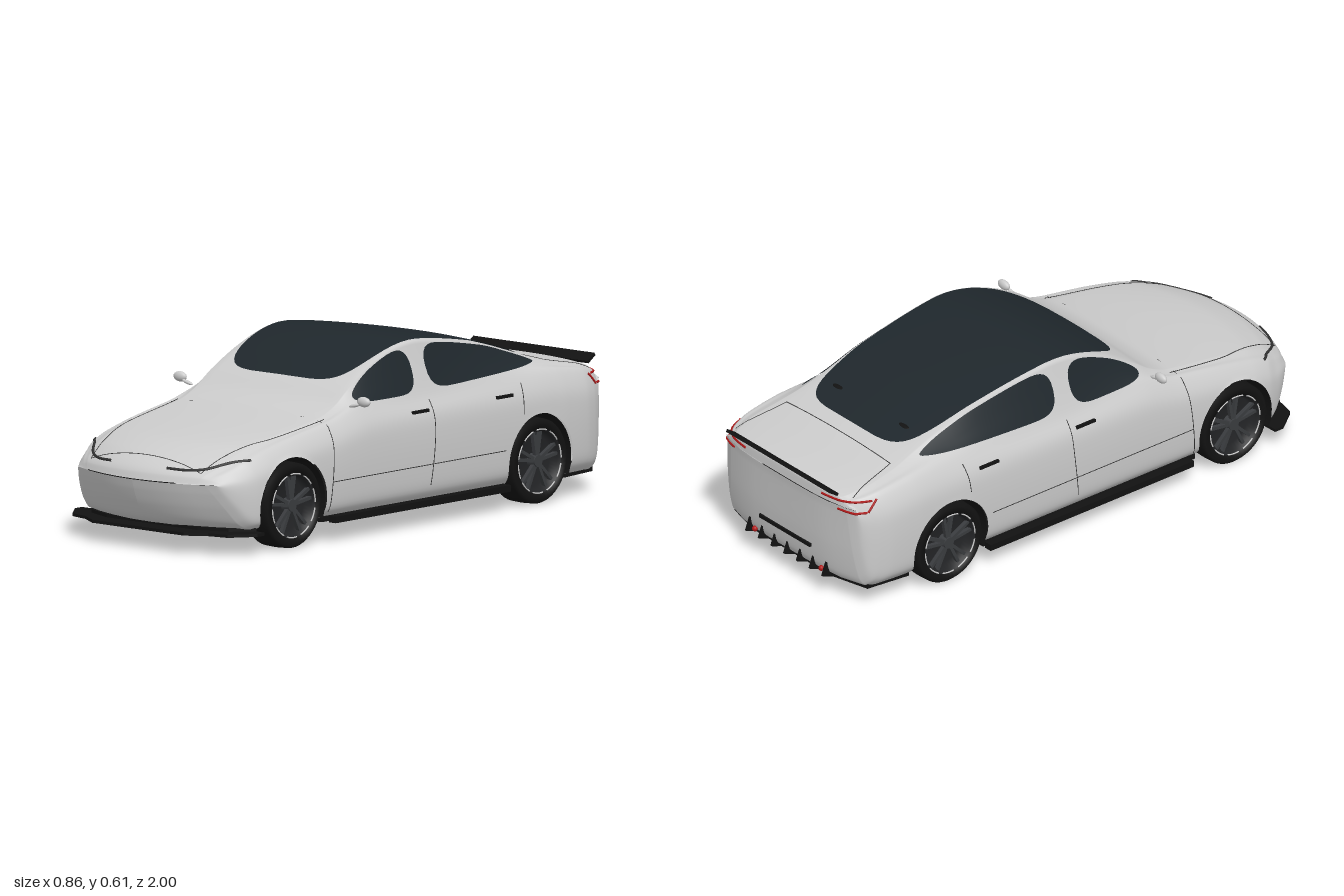
import * as THREE from 'three';

const paint = (color, side = THREE.FrontSide) => new THREE.MeshStandardMaterial({ color, side });
const grey = paint(0xcccccc, THREE.DoubleSide);
const glass = paint(0x1f272c, THREE.DoubleSide);
const black = paint(0x121212, THREE.DoubleSide);
const seamMat = paint(0x333333), rimMat = paint(0x3a3c3f), red = paint(0xb01818);

const ARCH = 0.158, AXLES = [0.635, -0.585], HUB_Y = 0.145;

// Body stations: z, top y, roof edge x, belt y, then half width and bottom y where they taper
const stations = [
  [1, .237, .24, .235, .3, .234], [.99, .262, .25, .25, .32, .2], [.97, .283, .265, .265, .345, .15],
  [.94, .302, .28, .28, .365, .1], [.9, .322, .285, .3, .38], [.8, .352, .29, .325, .39],
  [.42, .408, .3, .385], [.34, .44, .302, .405], [.27, .488, .3, .42], [.15, .553, .292, .425],
  [.02, .597, .29, .425], [-.1, .605, .29, .427], [-.4, .558, .28, .43], [-.55, .515, .275, .43],
  [-.66, .48, .28, .43], [-.75, .457, .29, .425], [-.88, .435, .295, .41, .388],
  [-.93, .426, .285, .4, .375], [-.955, .42, .28, .395, .36, .1], [-.968, .415, .27, .39, .345, .2],
  [-.975, .408, .26, .385, .33, .34], [-.978, .376, .26, .374, .33, .373],
].map(([z, top, xr, yb, w = .395, bottom = .08]) => ({ z, v: [top, xr, yb, w, bottom] }));

// Smooth interpolation between stations i and i + 1
function blend(i, t) {
  const a = stations[i], b = stations[i + 1], h = b.z - a.z, t2 = t * t, t3 = t2 * t;
  const slope = (j, k) => {
    const p = stations[Math.max(j - 1, 0)], q = stations[Math.min(j + 1, stations.length - 1)];
    return (q.v[k] - p.v[k]) / (q.z - p.z);
  };
  const v = a.v.map((y, k) => (2 * t3 - 3 * t2 + 1) * y + (t3 - 2 * t2 + t) * h * slope(i, k)
    + (3 * t2 - 2 * t3) * b.v[k] + (t3 - t2) * h * slope(i + 1, k));
  return { z: a.z + h * t, v };
}
function stationAt(z) {
  const i = stations.findIndex(s => s.z < z) - 1;
  return blend(i, (z - stations[i].z) / (stations[i + 1].z - stations[i].z)).v;
}

// Half cross-section from the roof centre round to the floor centre
function section([top, xr, yb, w, bottom]) {
  const pts = [], h = yb - bottom, xb = w * .89;
  const crown = Math.min(.01, (top - bottom) * .07), yr = top - crown;
  for (let i = 0; i < 10; i++) pts.push([xr * i / 10, top - crown * (i / 10) ** 2]);
  const side = new THREE.SplineCurve([[xr, yr], [(xr + xb) / 2 - .002, (yr + yb) / 2], [xb, yb],
    [w - .01, yb - .18 * h], [w, yb - .4 * h], [w, yb - .7 * h], [w - .008, bottom + .1 * h],
    [w - .035, bottom]].map(p => new THREE.Vector2(...p)));
  for (const p of side.getPoints(35)) pts.push([p.x, p.y]);
  for (let i = 1; i <= 4; i++) pts.push([(w - .035) * (1 - i / 4), bottom]);
  return pts;
}

// Surface through rows of points; keep() may drop faces or adjust positions
function grid(rows, keep = () => true) {
  const n = rows[0].length, pos = rows.flat(2), index = [];
  for (let r = 0; r < rows.length - 1; r++) for (let c = 0; c < n - 1; c++) {
    const a = r * n + c, b = a + n;
    for (const tri of [[a, b, a + 1], [b, b + 1, a + 1]]) if (keep(tri, pos, r, c)) index.push(...tri);
  }
  const g = new THREE.BufferGeometry();
  g.setAttribute('position', new THREE.Float32BufferAttribute(pos, 3));
  g.setIndex(index);
  g.computeVertexNormals();
  return g;
}

function bodyGeometry() {
  const rows = [];
  for (let i = 0; i < stations.length - 1; i++) {
    const n = Math.max(5, Math.ceil((stations[i].z - stations[i + 1].z) / .014));
    for (let k = 0; k < n; k++) rows.push(blend(i, k / n));
  }
  rows.push(stations[stations.length - 1]);
  // Bow the nose and tail in plan
  const pts = rows.map(({ z, v }) => {
    const half = section(v), ring = [...half.map(([x, y]) => [-x, y]).reverse(), ...half.slice(1)];
    const nose = THREE.MathUtils.smoothstep(z, .5, 1), tail = THREE.MathUtils.smoothstep(-z, .6, .97);
    return ring.map(([x, y]) => [x, y, z - .85 * x * x * nose + 3 * x ** 4 * tail]);
  });
  const n = pts[0].length, flat = r => rows[r].v[4] < .0805;
  // Cut the wheel arches: drop faces inside, push straddling corners to the rim
  return grid(pts, (tri, pos, r, c) => {
    if ((c < 4 || c >= n - 5) && flat(r) && flat(r + 1)) return false;
    const corners = tri.map(i => pts[Math.floor(i / n)][i % n]);
    const hit = corners.map(p => AXLES.find(z => Math.hypot(p[2] - z, p[1] - HUB_Y) < ARCH));
    if (hit.every(z => z !== undefined)) return false;
    tri.forEach((i, k) => {
      if (hit[k] === undefined) return;
      const dz = corners[k][2] - hit[k], dy = corners[k][1] - HUB_Y, s = ARCH / Math.hypot(dz, dy);
      pos[i * 3 + 1] = HUB_Y + dy * (dy < 0 ? 1 : s);
      pos[i * 3 + 2] = hit[k] + (dy < 0 ? Math.sign(dz) * Math.sqrt(ARCH ** 2 - dy ** 2) : dz * s);
    });
    return true;
  });
}

function makeWheel() {
  const wheel = new THREE.Group();
  const add = (name, g, m) => { const o = new THREE.Mesh(g, m); o.name = name; wheel.add(o); };
  const lathe = p => new THREE.LatheGeometry(p.map(q => new THREE.Vector2(...q)), 48).rotateZ(-Math.PI / 2);
  add('tyre', lathe([[.108, -.05], [.132, -.052], [.141, -.042], [.143, 0], [.141, .042], [.132, .052],
    [.108, .05], [.106, .03]]), black);
  add('rimBarrel', lathe([[0, .012], [.09, .012], [.098, .04], [.108, .049]]), paint(0x222325, THREE.DoubleSide));
  for (let i = 0; i < 10; i++) {
    const a = Math.floor(i / 2) * Math.PI * .4 + (i % 2 ? .17 : -.17);
    add('spoke', new THREE.BoxGeometry(.014, .09, .011).translate(.034, .056, 0).rotateX(a), rimMat);
    add('rimAccent', new THREE.TorusGeometry(.106, .0025, 6, 8, .45).rotateY(Math.PI / 2)
      .translate(.05, 0, 0).rotateX(i * Math.PI / 5), grey);
  }
  add('hub', new THREE.CylinderGeometry(.02, .024, .03, 20).rotateZ(-Math.PI / 2).translate(.03, 0, 0), rimMat);
  return wheel;
}

export function createModel() {
  const car = new THREE.Group();
  const add = (name, g, m, x = 0, y = 0, z = 0) => {
    const o = new THREE.Mesh(g, m);
    o.name = name; o.position.set(x, y, z); car.add(o);
    return o;
  };
  const body = add('body', bodyGeometry(), grey);

  // Drop a point onto the body along a direction
  const ray = new THREE.Raycaster();
  let last = new THREE.Vector3();
  const project = (p, dir, lift) => {
    const d = new THREE.Vector3(...dir).normalize();
    ray.set(new THREE.Vector3(...p).addScaledVector(d, -1), d);
    const hit = ray.intersectObject(body)[0];
    if (hit) last = hit.point.addScaledVector(d, -lift);
    return last.clone();
  };
  // Thin line lying on the body
  const strip = (name, pts, dir, r, m) => {
    const path = new THREE.CatmullRomCurve3(pts.map(p => new THREE.Vector3(...p)));
    const on = path.getPoints(16).map(p => project(p.toArray(), dir, r * .3));
    add(name, new THREE.TubeGeometry(new THREE.CatmullRomCurve3(on), 32, r, 5), m);
  };
  const topSeam = (name, ...pts) => strip(name, pts.map(([x, z]) => [x, .4, z]), [0, -1, 0], .0014, seamMat);
  const steps = (n, f) => Array.from({ length: n + 1 }, (_, i) => f(-1 + 2 * i / n));

  // Glass roof, from windscreen to rear window
  add('glassRoof', grid(steps(36, a => {
    const t = Math.sin(a * Math.PI / 2), z = -.212 - .478 * t;
    const w = stationAt(z)[1] * .975 * Math.max(1 - Math.abs(t) ** 5, 1e-4) ** .2;
    return steps(20, s => project([s * w, .6, z], [0, -1, 0], .004).toArray());
  })), glass);

  for (const s of [1, -1]) {
    // Side windows
    for (const [name, z0, z1, n] of [['frontWindow', .272, -.022, 5], ['rearWindow', -.09, -.645, 9]]) {
      add(name, grid(steps(24, a => {
        const t = Math.sin(a * Math.PI / 2), z = (z0 + z1) / 2 + (z1 - z0) / 2 * t;
        const hi = stationAt(z)[0] - .016, lo = Math.min(hi, .434 + Math.max(0, -z) * .035);
        const h = (hi - lo) / 2 * Math.max(1 - Math.abs(t) ** n, 0) ** .4;
        return steps(10, v => project([s * .4, (hi + lo) / 2 + v * h, z], [-s, 0, 0], .004).toArray());
      })), glass);
    }
    // Panel seams
    for (const pts of [[[.43, .4], [.445, .25], [.46, .1]], [[-.065, .41], [-.06, .3], [-.04, .13]],
      [[-.515, .41], [-.505, .36], [-.5, .31]], [[.45, .2], [0, .2], [-.41, .2]]]) {
      strip('doorSeam', pts.map(([z, y]) => [s * .4, y, z]), [-s, 0, 0], .0014, seamMat);
    }
    topSeam('bonnetSeam', [s * .32, .41], [s * .305, .65], [s * .29, .72], [s * .24, .93]);
    topSeam('bootSeam', [s * .265, -.74], [s * .285, -.86], [s * .3, -.93]);
    // Lights
    strip('headlight', [[.34, .308], [.3, .302], [.25, .283], [.2, .277], [.12, .279]]
      .map(([x, y]) => [s * x, y, .9]), [0, 0, -1], .005, seamMat);
    for (const pts of [[[.2, .393, -.98], [.3, .394, -.96], [.36, .395, -.9]],
      [[.27, .36, -.97], [.33, .36, -.95], [.36, .36, -.92]], [[.365, .398, -.885], [.36, .36, -.915]]]) {
      strip('tailLight', pts.map(([x, y, z]) => [s * x, y, z]), [-s, 0, 1], .004, red);
    }
    add('diffuserLight', new THREE.SphereGeometry(.01, 12, 8), red, s * .17, .092, -.955);
    // Door handles, mirrors, skirts
    for (const z of [0, -.415]) {
      const p = project([s * .4, .378, z], [-s, 0, 0], .001);
      add('doorHandle', new THREE.BoxGeometry(.01, .01, .08), black, p.x, p.y, p.z);
    }
    const pod = (name, size, tilt, m, ...at) => add(name, new THREE.SphereGeometry(1, 24, 16).scale(...size), m, ...at)
      .rotation.set(...tilt);
    pod('mirror', [.027, .017, .013], [0, 0, 0], grey, s * .402, .449, .305);
    pod('mirrorStalk', [.024, .006, .007], [0, 0, s * .25], grey, s * .366, .434, .31);
    pod('rearGlassTab', [.03, .004, .01], [-.3, 0, 0], black, s * .165, stationAt(-.6)[0] - .002, -.6);
    add('sideSkirt', new THREE.BoxGeometry(.03, .022, .87), black, s * .388, .074, .01);
    // Wheels and arch liners
    for (const z of AXLES) {
      const wheel = makeWheel();
      wheel.name = z > 0 ? 'frontWheel' : 'rearWheel';
      wheel.position.set(s * .337, HUB_Y - .002, z);
      if (s < 0) wheel.rotation.y = Math.PI;
      car.add(wheel);
      add('archLiner', new THREE.CylinderGeometry(ARCH, ARCH, .115, 40, 1, true, -.4, Math.PI + .8)
        .rotateZ(Math.PI / 2), black, s * .328, HUB_Y, z);
      add('archWall', new THREE.CircleGeometry(ARCH, 40, -.4, Math.PI + .8).rotateY(Math.PI / 2),
        black, s * .272, HUB_Y, z);
    }
  }
  topSeam('bootSeam', [-.265, -.74], [0, -.74], [.265, -.74]);
  topSeam('bonnetSeam', [-.24, .93], [0, .93], [.24, .93]);

  // Flat plates, mirrored from half outlines of x and z
  const plate = (name, half, y, depth) => {
    const outline = [...half, ...half.map(([x, z]) => [-x, z]).reverse()].map(p => new THREE.Vector2(...p));
    const g = new THREE.ExtrudeGeometry(new THREE.Shape(outline), { depth, bevelEnabled: false });
    add(name, g.rotateX(Math.PI / 2), black, 0, y);
  };
  plate('floor', [[.2, .9], [.3, .86], [.36, .79], [.27, .79], [.27, .478], [.37, .478], [.37, -.43],
    [.27, -.43], [.27, -.74], [.36, -.74], [.34, -.9], [.2, -.935]], .085, .018);
  plate('splitter', [[.2, .97], [.27, .925], [.34, .91], [.4, .83], [.4, .795], [.25, .79]], .074, .01);

  // Rear spoiler, bumper slot and diffuser
  add('spoiler', new THREE.BoxGeometry(.53, .01, .042).rotateX(.6), black, 0, .425, -.98);
  add('bumperSlot', new THREE.BoxGeometry(.26, .012, .012), black, 0, .165, -.966);
  for (let i = -3; i <= 3; i++) {
    add('diffuserFin', new THREE.BoxGeometry(.008, .05, .085).rotateX(.35), black, i * .065, .088, -.925);
  }
  return car;
}
